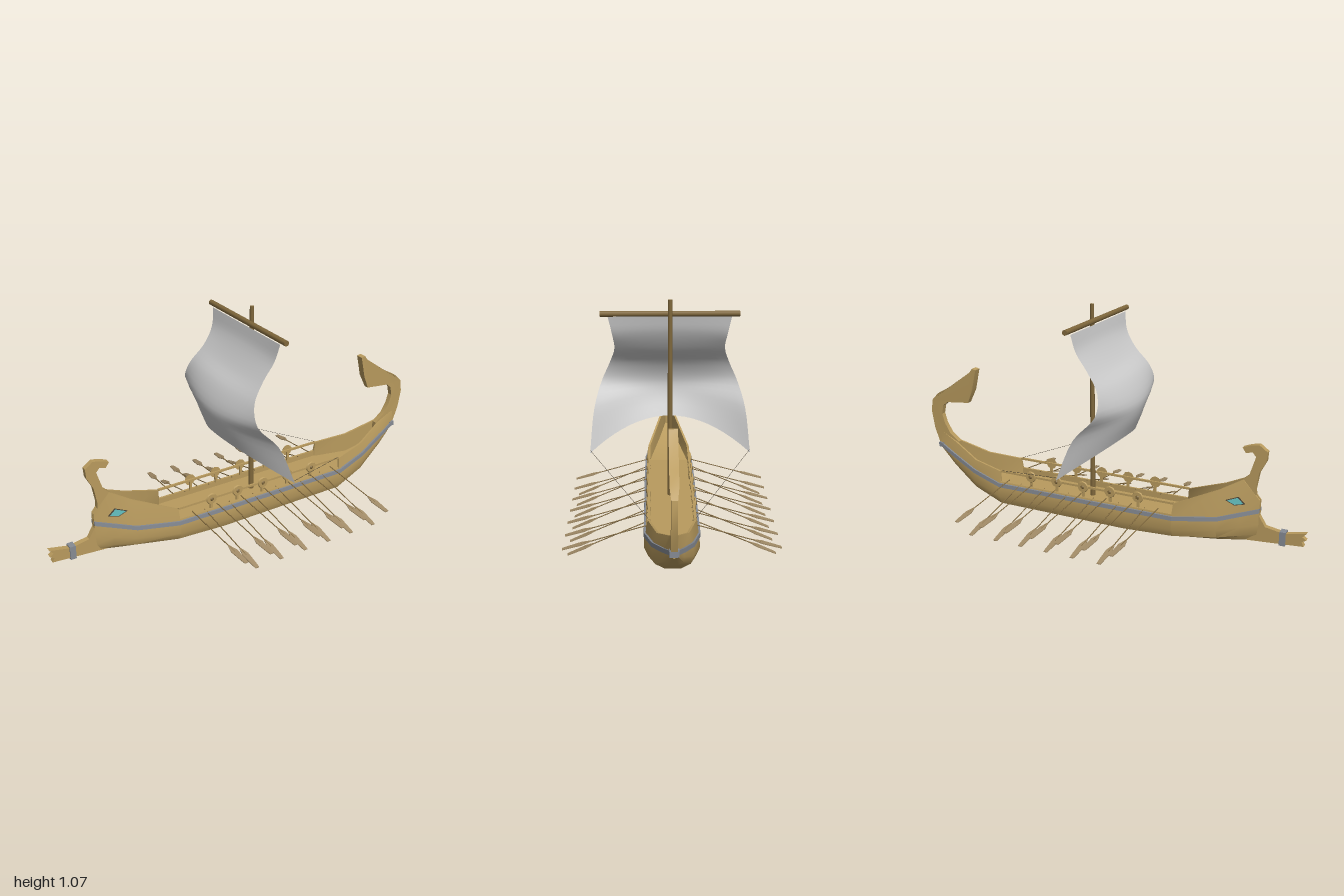
import * as THREE from 'three';
import { toCreasedNormals } from 'three/addons/utils/BufferGeometryUtils.js';

const mat = (color) => new THREE.MeshStandardMaterial({ color, side: THREE.DoubleSide });
const V = (x, y, z) => new THREE.Vector3(x, y, z);

// Hull stations: x, then keel height, wale height and half width, top edge height and half width
const STATIONS = [
  [-0.78, 0.056, 0.2, 0.012, 0.25, 0.011],
  [-0.7, 0.045, 0.178, 0.04, 0.34, 0.018],
  [-0.6, 0.033, 0.15, 0.075, 0.285, 0.05],
  [-0.4, 0.014, 0.13, 0.115, 0.2, 0.106],
  [-0.395, 0.014, 0.13, 0.115, 0.149, 0.112],
  [-0.15, 0, 0.13, 0.117, 0.149, 0.112],
  [0.525, 0.005, 0.13, 0.117, 0.149, 0.112],
  [0.53, 0.005, 0.13, 0.117, 0.2, 0.106],
  [0.7, 0.055, 0.165, 0.083, 0.22, 0.068],
  [0.85, 0.15, 0.215, 0.041, 0.28, 0.022],
  [0.955, 0.24, 0.255, 0.013, 0.33, 0.011],
];

// Closed hull section: deck edge, inner wall and outer skin, mirrored
function hullRing([x, keelY, waleY, waleW, topY, topW]) {
  const rise = (t) => keelY + (waleY - keelY) * t;
  const deckY = 0.12 + Math.max(0, topY - 0.22), innerW = Math.max(0.003, topW - 0.01);
  const half = [[deckY, innerW], [topY, innerW], [topY, topW], [waleY, waleW],
    [rise(0.53), waleW * 1.05], [rise(0.2), waleW * 0.9], [keelY, waleW * 0.4]];
  return [
    ...half.map(([y, z]) => V(x, y, z)),
    ...half.reverse().map(([y, z]) => V(x, y, -z)),
  ];
}

// Half width of the upper hull at x, y
function hullZ(x, y) {
  const i = STATIONS.findIndex((s) => s[0] >= x);
  const p = STATIONS[i - 1], q = STATIONS[i], t = (x - p[0]) / (q[0] - p[0]);
  const [, , waleY, waleW, topY, topW] = p.map((a, k) => a + (q[k] - a) * t);
  return waleW + (topW - waleW) * (y - waleY) / (topY - waleY);
}

// Skin closed rings of points, with end caps
function loft(rings, crease) {
  const n = rings[0].length, last = (rings.length - 1) * n, index = [];
  for (let a = 0; a < last; a++) {
    const c = a % n === n - 1 ? a - n + 1 : a + 1;
    index.push(a, c, a + n, a + n, c, c + n);
  }
  for (let k = 1; k < n - 1; k++) index.push(0, k + 1, k, last, last + k, last + k + 1);
  const g = new THREE.BufferGeometry().setFromPoints(rings.flat());
  g.setIndex(index);
  return toCreasedNormals(g, crease);
}

const outline = (points) => new THREE.Shape(points.map(([x, y]) => new THREE.Vector2(x, y)));

// Outline cut from a plank centred on z = 0, its half width given by a rule of x and y
function plank(points, halfWidth) {
  const g = new THREE.ExtrudeGeometry(outline(points), { depth: 2, bevelEnabled: false });
  const p = g.attributes.position;
  for (let i = 0; i < p.count; i++) p.setZ(i, (p.getZ(i) - 1) * halfWidth(p.getX(i), p.getY(i)));
  return toCreasedNormals(g, 0.5);
}

// Round rod between two points
function rod(a, b, r0, r1 = r0, sides = 8) {
  const d = b.clone().sub(a), m = a.clone().lerp(b, 0.5);
  return new THREE.CylinderGeometry(r1, r0, d.length(), sides)
    .applyQuaternion(new THREE.Quaternion().setFromUnitVectors(V(0, 1, 0), d.normalize()))
    .translate(m.x, m.y, m.z);
}

// Thin oar blade tapering along the line a to b
function blade(a, b, s) {
  return loft([[0.68, 0.003], [0.78, 0.016], [0.96, 0.011], [1, 0.009]].map(([t, w]) => {
    const c = a.clone().lerp(b, t), h = 0.002;
    const ring = [V(w, h, 0), V(-w, h, 0), V(-w, -h, 0), V(w, -h, 0)].map((p) => p.add(c));
    return s > 0 ? ring : ring.reverse();
  }), 0.3);
}

// Billowing sail blended from a middle curve and an edge curve
function sailGeometry() {
  const middle = new THREE.CatmullRomCurve3([
    V(0.028, 0.985, 0), V(0.008, 0.906, 0), V(-0.056, 0.8, 0), V(-0.125, 0.73, 0),
    V(-0.17, 0.63, 0), V(-0.162, 0.56, 0), V(-0.12, 0.46, 0)]);
  const edge = new THREE.CatmullRomCurve3([
    V(0.028, 0.985, 0.285), V(0.01, 0.9, 0.268), V(-0.04, 0.82, 0.26), V(-0.105, 0.73, 0.288),
    V(-0.112, 0.64, 0.327), V(-0.02, 0.53, 0.36), V(0.06, 0.332, 0.38)]);
  const g = new THREE.PlaneGeometry(2, 1, 20, 24), pos = g.attributes.position;
  for (let i = 0; i < pos.count; i++) {
    const u = pos.getX(i), v = 0.5 - pos.getY(i);
    const e = edge.getPoint(v), p = middle.getPoint(v).lerp(e, u * u);
    pos.setXYZ(i, p.x, p.y, e.z * u);
  }
  g.computeVertexNormals();
  return g;
}

// Slanted eye shape laid on the bow planking
function eyeGeometry(s, grow, lift) {
  const g = new THREE.ShapeGeometry(outline(
    [[-0.045, -0.012], [0.003, -0.02], [0.045, 0.002], [-0.012, 0.022]]
      .map(([x, y]) => [-0.675 + x * grow, 0.24 + y * grow])));
  const p = g.attributes.position;
  for (let i = 0; i < p.count; i++) p.setZ(i, s * (hullZ(p.getX(i), p.getY(i)) + lift));
  g.computeVertexNormals();
  return g;
}

export function createModel() {
  const ship = new THREE.Group();
  const wood = mat(0xb99b5e), darkWood = mat(0x80683c), oarWood = mat(0xa08a66);
  const metal = mat(0x868b94), cloth = mat(0xcccccc), teal = mat(0x5fb8b8), rope = mat(0x4a4236);
  const add = (name, geometry, material, parent = ship) => {
    const m = new THREE.Mesh(geometry, material);
    m.name = name;
    parent.add(m);
  };

  add('hull', loft(STATIONS.map(hullRing), 0.7), wood);

  // Forked ram and curled stem
  add('ram', plank([[-0.66, 0.045], [-0.75, 0.05], [-0.99, 0.068], [-0.98, 0.088], [-1, 0.1],
    [-0.982, 0.113], [-1, 0.133], [-0.9, 0.112], [-0.81, 0.128], [-0.765, 0.2], [-0.66, 0.18]],
  () => 0.013), wood);
  add('stem', plank([[-0.765, 0.19], [-0.757, 0.3], [-0.77, 0.38], [-0.8, 0.44], [-0.803, 0.485],
    [-0.765, 0.513], [-0.725, 0.505], [-0.688, 0.49], [-0.705, 0.466], [-0.735, 0.475],
    [-0.752, 0.455], [-0.725, 0.365], [-0.7, 0.342], [-0.68, 0.32], [-0.68, 0.19]],
  () => 0.013), wood);

  // Stern post, slim at the neck and widening along the back of the fan
  add('sternPost', plank([[0.84, 0.17], [0.95, 0.24], [0.985, 0.34], [1, 0.43], [0.99, 0.49],
    [0.95, 0.53], [0.88, 0.57], [0.748, 0.665], [0.735, 0.685], [0.713, 0.68], [0.738, 0.57],
    [0.77, 0.5], [0.9, 0.487], [0.925, 0.465], [0.935, 0.42], [0.92, 0.37], [0.89, 0.32],
    [0.84, 0.28]], (x, y) => (y > 0.52 ? 0.019 : 0.013)), wood);
  add('ramBand', new THREE.BoxGeometry(0.028, 0.066, 0.04).translate(-0.893, 0.088, 0), metal);
  add('sternBand', new THREE.BoxGeometry(0.03, 0.024, 0.04).translate(0.945, 0.25, 0), metal);

  // Mast, yard and sail
  add('mast', rod(V(0.065, 0.11, 0), V(0.065, 1.07, 0), 0.013, 0.01), darkWood);
  add('yard', rod(V(0.037, 1, -0.32), V(0.037, 1, 0.32), 0.013), darkWood);
  add('sail', sailGeometry(), cloth);

  for (const s of [1, -1]) {
    const side = new THREE.Group();
    side.name = s > 0 ? 'leftSide' : 'rightSide';
    ship.add(side);

    // Wale along the hull
    add('wale', loft(STATIONS.map(([x, , y, w]) => {
      const ring = [[0.011, 0.006], [-0.009, 0.007], [-0.01, -0.006], [0.011, -0.006]]
        .map(([dy, dz]) => V(x, y + dy, s * (w + dz)));
      return s > 0 ? ring : ring.reverse();
    }), 0.5), metal, side);

    // Rail with posts and round shields
    add('rail', new THREE.BoxGeometry(0.93, 0.01, 0.01).translate(0.065, 0.2, s * 0.1), wood, side);
    for (let i = 0; i < 5; i++) {
      const x = -0.222 + i * 0.144;
      const disc = (r0, r1, h, z) => new THREE.CylinderGeometry(r1, r0, h, 10)
        .rotateX(s * Math.PI / 2).translate(x, 0.2, s * z);
      add('railPost', new THREE.BoxGeometry(0.012, 0.06, 0.01).translate(x, 0.175, s * 0.1), wood, side);
      add('shield', disc(0.029, 0.026, 0.006, 0.107), wood, side);
      add('shieldBoss', disc(0.01, 0.006, 0.005, 0.112), darkWood, side);
    }

    // Two staggered tiers of oars
    for (let i = 0; i < 13; i++) {
      const x = -0.262 + i * 0.0672, low = i % 2 === 1;
      const a = V(x - 0.06, low ? 0.148 : 0.158, s * 0.094);
      const b = V(x, low ? 0.012 : 0.072, s * (low ? 0.462 : 0.477));
      add('oarShaft', rod(a, a.clone().lerp(b, 0.8), 0.0026, 0.0026, 6), darkWood, side);
      add('oarBlade', blade(a, b, s), oarWood, side);
    }

    add('eyeRim', eyeGeometry(s, 1, 0.003), rope, side);
    add('eye', eyeGeometry(s, 0.8, 0.005), teal, side);

    // Rope from the sail corner to the rail
    add('sheetRope', rod(V(0.058, 0.345, s * 0.378), V(0.53, 0.203, s * 0.1), 0.0009, 0.0009, 5), rope, side);
  }
  return ship;
}
